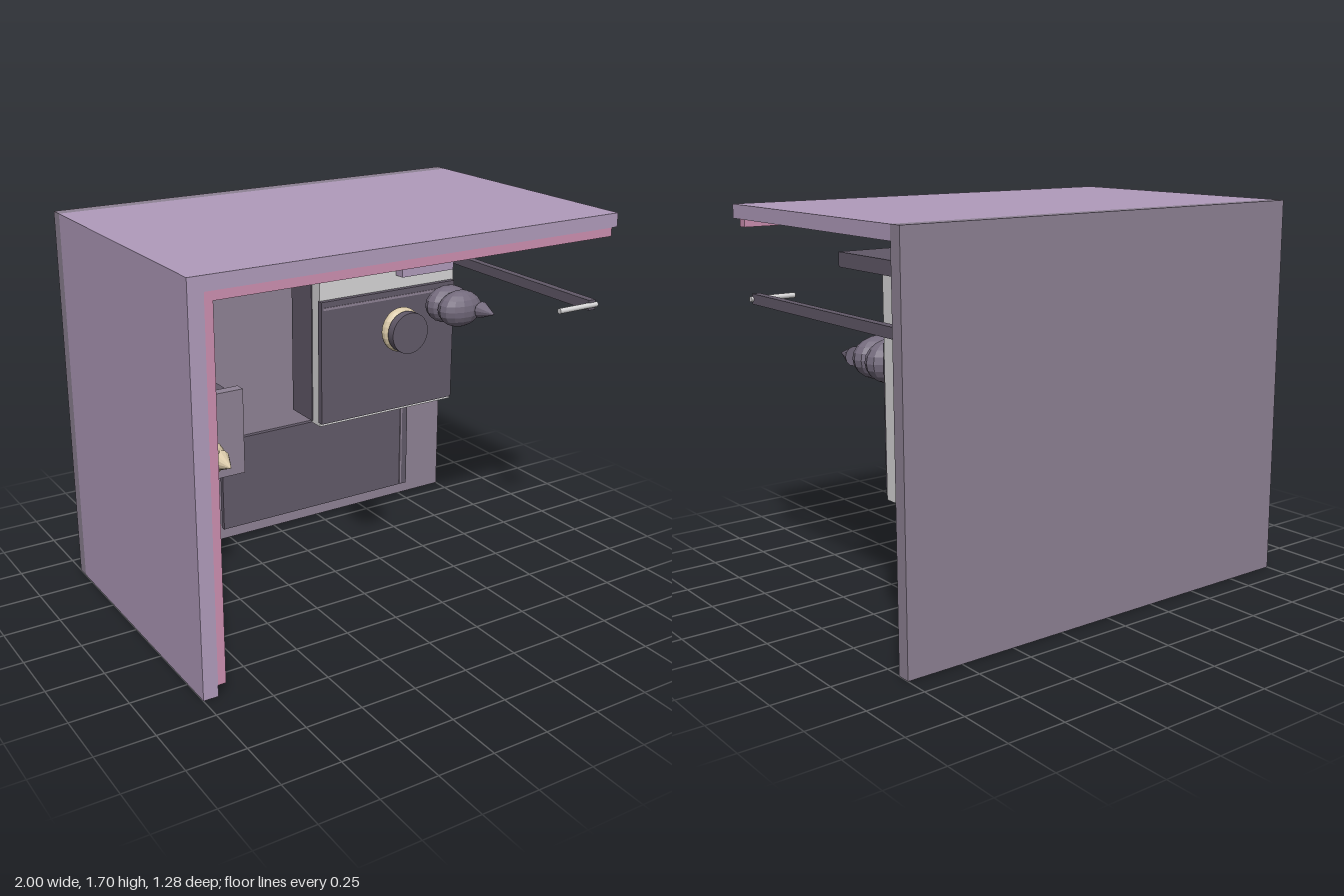
import * as THREE from 'three';

const mat = (name, color, flat = false) => {
  const m = new THREE.MeshStandardMaterial({ color, flatShading: flat });
  m.name = name;
  return m;
};

export function createModel() {
  const room = new THREE.Group();
  room.name = 'room';
  const lavender = mat('lavender', 0xb09bbb);
  const grey = mat('mauveGrey', 0x8e8294);
  const dark = mat('darkMauve', 0x615968);
  const white = mat('linenWhite', 0xd6d5d6);
  const pink = mat('pink', 0xcc8fb0);
  const cream = mat('cream', 0xd9c8a8, true);
  const plum = mat('plum', 0x736a7c, true);
  const green = mat('leafGreen', 0x5f9479);
  const black = mat('nearBlack', 0x3a3540);

  const add = (name, geo, m, parent = room) => {
    const mesh = new THREE.Mesh(geo, m);
    mesh.name = name;
    parent.add(mesh);
    return mesh;
  };
  // box given by its limits on each axis
  const box = (name, m, x0, x1, y0, y1, z0, z1) => add(name,
    new THREE.BoxGeometry(x1 - x0, y1 - y0, z1 - z0)
      .translate((x0 + x1) / 2, (y0 + y1) / 2, (z0 + z1) / 2), m);
  const ball = (name, m, c, r, parent = room, w = 16, h = 12) => add(name,
    new THREE.SphereGeometry(1, w, h).scale(...r).translate(...c), m, parent);
  // cylinder or cone standing along +z
  const upright = (name, m, r0, r1, x, y, z0, z1, n, parent = room) => add(name,
    new THREE.CylinderGeometry(r1, r0, z1 - z0, n).rotateX(Math.PI / 2)
      .translate(x, y, (z0 + z1) / 2), m, parent);

  // shell: the room's floor is the back slab, its height runs along +z
  box('floor', grey, -1, 1, 0, 1.695, -0.64, -0.58);
  box('longWall', lavender, -1, 1, 1.635, 1.695, -0.58, 0.64);
  box('shortWall', lavender, -1, -0.935, 0, 1.635, -0.58, 0.64);
  box('longTrim', pink, -0.935, 0.97, 1.598, 1.635, 0.598, 0.64);
  box('shortTrim', pink, -0.935, -0.9, 0.05, 1.598, 0.598, 0.64);

  // rug
  box('rug', dark, -0.29, 0.785, 0.06, 0.52, -0.58, -0.557);
  box('rugStripe', grey, 0.74, 0.75, 0.07, 0.505, -0.557, -0.551);

  // bed
  box('bedFrame', dark, 0.1, 0.86, 0.61, 1.51, -0.55, -0.37);
  box('mattress', white, 0.105, 0.862, 0.6, 1.48, -0.385, -0.305);
  box('blanket', dark, 0.1, 0.85, 0.62, 1.215, -0.31, -0.28);
  box('blanketStripe', grey, 0.11, 0.845, 1.175, 1.187, -0.28, -0.277);
  box('pillow', lavender, 0.525, 0.82, 1.28, 1.46, -0.31, -0.25);
  box('headboard', dark, 0.085, 0.87, 1.48, 1.54, -0.4, 0);

  // desk
  box('deskTop', grey, -0.905, -0.36, 0.515, 0.915, -0.24, -0.19);
  box('deskDrawers', lavender, -0.9, -0.43, 0.55, 0.88, -0.575, -0.24);
  box('deskPanel', dark, -0.43, -0.38, 0.55, 0.88, -0.575, -0.24);

  // potted plant
  upright('pot', lavender, 0.06, 0.06, -0.87, 0.85, -0.19, -0.07, 20);
  const stem = new THREE.LineCurve3(new THREE.Vector3(-0.87, 0.848, -0.1), new THREE.Vector3(-0.79, 0.848, 0.14));
  add('stem', new THREE.TubeGeometry(stem, 1, 0.006, 8), green);
  ball('leaf', green, [-0.775, 0.848, 0.14], [0.047, 0.02, 0.02]);
  ball('lowLeaf', green, [-0.92, 0.93, -0.225], [0.02, 0.045, 0.027]);

  // plush toys: two stacked bodies with a pointed tip
  const plush = (name, m, x, y, z, r, tipX, tipR, tipZ0, tipZ1) => {
    const g = new THREE.Group();
    g.name = name;
    ball('plushBody', m, [x, y, z], r, g, 14, 10);
    ball('plushHead', m, [x, y, z + 0.095], [r[0] * 0.97, r[1] * 0.97, r[2]], g, 14, 10);
    upright('plushTip', m, tipR, 0, tipX, y, tipZ0, tipZ1, 12, g);
    room.add(g);
    return g;
  };
  const creamToy = plush('creamPlush', cream, -0.665, 0.703, -0.115, [0.126, 0.094, 0.08], -0.59, 0.046, 0.025, 0.13);
  for (const x of [-0.66, -0.62])
    ball('eye', black, [x, 0.793, -0.035], [0.011, 0.008, 0.011], creamToy, 10, 8);
  plush('plumPlush', plum, 0.767, 1.127, -0.215, [0.12, 0.09, 0.075], 0.838, 0.04, -0.045, 0.055);

  // ceiling lamp
  ball('lampShade', cream, [0, 1.31, 0.5], [0.09, 0.092, 0.042], room, 24, 12);
  upright('lampCap', dark, 0.084, 0.084, 0, 1.31, 0.53, 0.565, 28);

  // standing pole with a light arm
  box('pole', dark, 0.914, 0.95, 1.27, 1.315, -0.54, 0.595);
  add('poleArm', new THREE.CylinderGeometry(0.012, 0.012, 0.21, 12).rotateZ(Math.PI / 2)
    .translate(0.855, 1.292, 0.592), white);

  // wall shelf with ball, and hangings on the long wall
  box('shelf', grey, -0.275, 0.08, 1.54, 1.635, -0.06, -0.03);
  ball('pinkBall', pink, [0.035, 1.535, 0.005], [0.03, 0.03, 0.04]);
  box('wallPanel', dark, -0.55, -0.25, 1.626, 1.635, -0.32, 0.03);
  ball('panelDisc', dark, [-0.4, 1.612, -0.1], [0.07, 0.012, 0.07]);
  ball('wallDisc', dark, [-0.73, 1.61, 0.3], [0.085, 0.015, 0.085]);

  return room;
}
